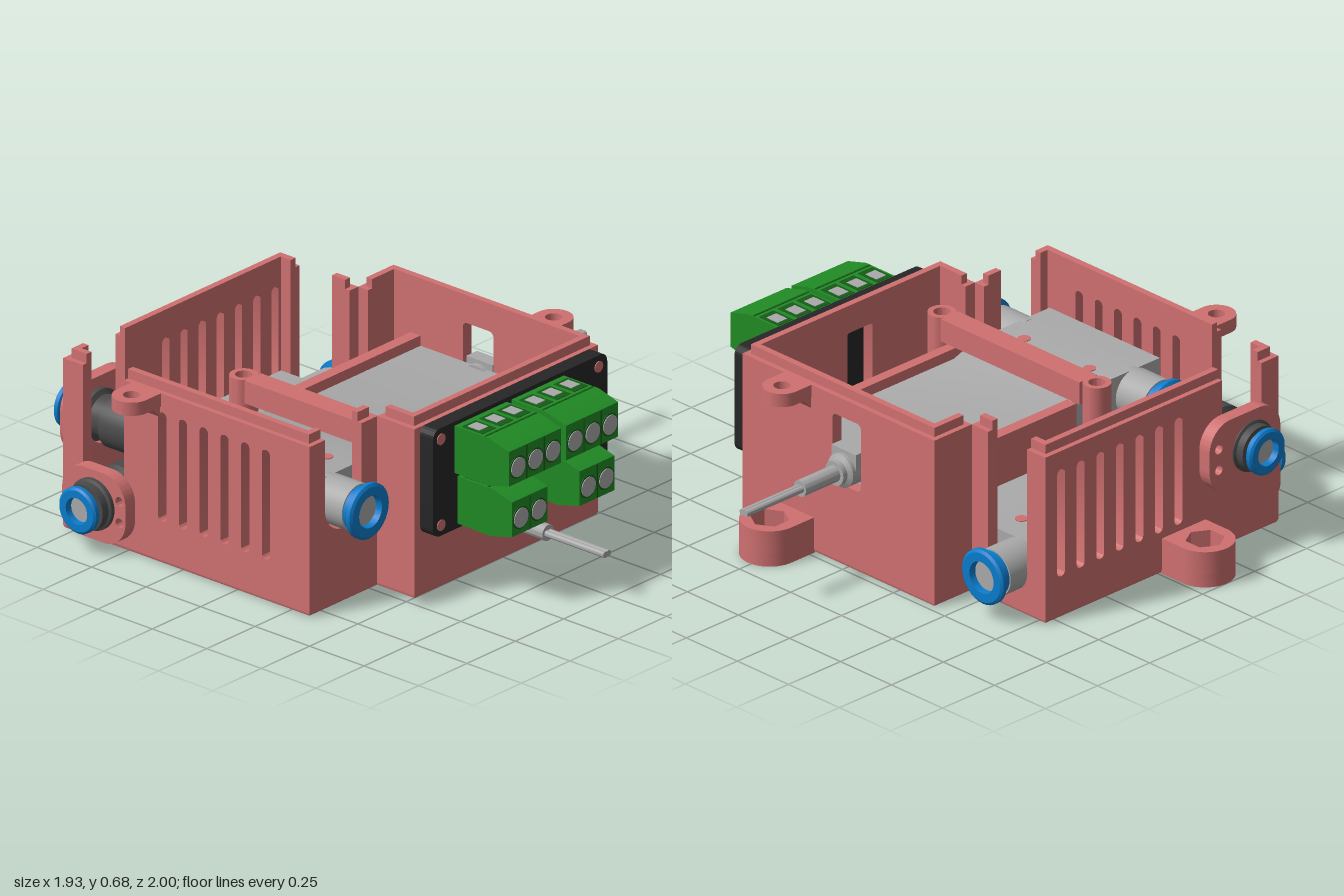
import * as THREE from 'three';
import { toCreasedNormals } from 'three/addons/utils/BufferGeometryUtils.js';

const material = (name, color) => new THREE.MeshStandardMaterial({ name, color });

export function createModel() {
  const model = new THREE.Group();
  model.name = 'valveBox';
  const pink = material('casePink', 0xcf7070);
  const grey = material('valveGrey', 0xa9a9a9);
  const black = material('panelBlack', 0x262626);
  const green = material('terminalGreen', 0x208a24);
  const darkGreen = material('terminalShadowGreen', 0x155c18);
  const blue = material('collarBlue', 0x0a7ccc);
  const dark = material('couplerGrey', 0x4a4a4a);

  const add = (name, geo, mat, x = 0, y = 0, z = 0, parent = model) => {
    const m = new THREE.Mesh(geo, mat);
    m.name = name;
    m.position.set(x, y, z);
    parent.add(m);
    return m;
  };
  const box = (name, mat, x0, x1, y0, y1, z0, z1, parent) =>
    add(name, new THREE.BoxGeometry(x1 - x0, y1 - y0, z1 - z0), mat,
      (x0 + x1) / 2, (y0 + y1) / 2, (z0 + z1) / 2, parent);
  const extrude = (shape, depth, options = {}) => toCreasedNormals(
    new THREE.ExtrudeGeometry(shape, { depth, bevelEnabled: false, curveSegments: 12, ...options }), 0.5);
  const poly = (pts) => new THREE.Shape(pts.map(([x, y]) => new THREE.Vector2(x, y)));
  const roundRect = (x0, y0, x1, y1, r) => {
    const s = new THREE.Shape();
    s.absarc(x1 - r, y0 + r, r, -Math.PI / 2, 0);
    s.absarc(x1 - r, y1 - r, r, 0, Math.PI / 2);
    s.absarc(x0 + r, y1 - r, r, Math.PI / 2, Math.PI);
    s.absarc(x0 + r, y0 + r, r, Math.PI, Math.PI * 1.5);
    return s;
  };
  const ngon = (x, y, r, n) => poly(Array.from({ length: n }, (_, i) => {
    const a = (i / n) * Math.PI * 2;
    return [x + r * Math.cos(a), y + r * Math.sin(a)];
  }));
  // Turned part: profile of [radius, distance along axis]
  const turned = (name, mat, profile, pos, dir, parent) => {
    const geo = new THREE.LatheGeometry(profile.map(([r, h]) => new THREE.Vector2(r, h)), 32);
    const m = add(name, toCreasedNormals(geo, 0.5), mat, ...pos, parent);
    m.quaternion.setFromUnitVectors(new THREE.Vector3(0, 1, 0), new THREE.Vector3(...dir));
    return m;
  };
  const rod = (name, mat, r, h0, h1, pos, dir, parent) =>
    turned(name, mat, [[0, h0], [r, h0], [r, h1], [0, h1]], pos, dir, parent);

  // Case floor with hexagonal nut pockets underneath
  const plan = [[0.48, 0.51], [-0.47, 0.51], [-0.47, 0.34], [-0.82, 0.34],
    [-0.82, -0.79], [0.3, -0.79], [0.3, -0.43], [0.48, -0.43]];
  const floor = poly(plan.map(([x, z]) => [x, -z]));
  const inner = extrude(floor, 0.03).rotateX(-Math.PI / 2);
  [[-0.36, -0.37], [-0.36, 0.39], [-0.38, 0], [-0.38, 0.16], [0.36, 0.13], [0.36, -0.03]]
    .forEach(([x, z]) => floor.holes.push(ngon(x, -z, 0.033, 6)));
  add('floorInner', inner, pink, 0, 0.027, 0);
  add('floorBase', extrude(floor, 0.002, { bevelEnabled: true, bevelSize: 0.014, bevelThickness: 0.014,
    bevelOffset: -0.014, bevelSegments: 2 }).rotateX(-Math.PI / 2), pink, 0, 0.014, 0);

  // Walls: holes are shapes in (distance, height); cut is an open U [centre, height, radius]
  const wall = (i, holes = [], cut = null) => {
    const [a, b] = [plan[i], plan[(i + 1) % plan.length]];
    const L = Math.hypot(b[0] - a[0], b[1] - a[1]);
    const [dx, dz] = [(b[0] - a[0]) / L, (b[1] - a[1]) / L];
    const g = new THREE.Group();
    g.name = 'caseWall';
    const s = new THREE.Shape();
    s.moveTo(0, 0.015);
    s.lineTo(L, 0.015);
    s.lineTo(L, 0.64);
    if (cut) {
      s.lineTo(cut[0] + cut[2], 0.64);
      s.absarc(cut[0], cut[1], cut[2], 0, Math.PI, true);
      s.lineTo(cut[0] - cut[2], 0.64);
    }
    s.lineTo(0, 0.64);
    s.holes.push(...holes);
    add('wallPanel', extrude(s, 0.045), pink, 0, 0, 0, g);
    // Raised inner lip along the top edge
    const spans = cut ? [[0.02, cut[0] - cut[2]], [cut[0] + cut[2], L - 0.02]] : [[0.02, L - 0.02]];
    spans.forEach(([u0, u1]) => box('wallLip', pink, u0, u1, 0.63, 0.675, 0.02, 0.045, g));
    g.applyMatrix4(new THREE.Matrix4().makeBasis(new THREE.Vector3(dx, 0, dz),
      new THREE.Vector3(0, 1, 0), new THREE.Vector3(-dz, 0, dx)).setPosition(a[0], 0, a[1]));
    model.add(g);
  };
  const slots = (n, first, step) => Array.from({ length: n }, (_, i) =>
    roundRect(first + i * step - 0.019, 0.16, first + i * step + 0.019, 0.57, 0.018));
  wall(0, [roundRect(0.44, 0.1, 0.56, 0.24, 0.055), roundRect(0.46, 0.3, 0.58, 0.57, 0.01)]);
  wall(1);
  wall(2, [], [0.175, 0.375, 0.095]);
  wall(3, slots(6, 0.2, 0.095), [0.945, 0.165, 0.095]);
  wall(4, slots(7, 0.48, 0.094), [0.175, 0.375, 0.095]);
  wall(5, [], [0.185, 0.165, 0.095]);
  wall(6);
  wall(7, [roundRect(0.36, 0.31, 0.5, 0.57, 0.02)]);

  // Mounting lugs pointing outward at a given turn about y
  const lug = (name, x, z, turn, r, back, y, h, hole) => {
    const s = new THREE.Shape();
    s.moveTo(-back, -r);
    s.lineTo(0, -r);
    s.absarc(0, 0, r, -Math.PI / 2, Math.PI / 2);
    s.lineTo(-back, r);
    s.holes.push(hole);
    add(name, extrude(s, h).rotateX(-Math.PI / 2).rotateY(turn), pink, x, y, z);
  };
  [[0.59, 0.265, 0], [-0.365, -0.895, Math.PI / 2]].forEach(([x, z, t]) => {
    lug('footLugBase', x, z, t, 0.105, 0.115, 0, 0.05, ngon(0, 0, 0.05, 24));
    lug('footLugNutPocket', x, z, t, 0.105, 0.115, 0.05, 0.085, ngon(0, 0, 0.07, 6));
  });
  [[0.555, 0.24, 0], [-0.895, -0.41, Math.PI]].forEach(([x, z, t]) => {
    lug('lidLug', x, z, t, 0.068, 0.08, 0.59, 0.05, ngon(0, 0, 0.03, 20));
    const gusset = extrude(poly([[-0.08, 0.545], [-0.04, 0.59], [-0.08, 0.59]]), 0.13)
      .translate(0, 0, -0.065).rotateY(t);
    add('lidLugGusset', gusset, pink, x, 0, z);
  });

  // Ridges that cradle the upper valve, corner posts and hold-down strap
  box('cradleFront', pink, -0.44, 0.44, 0.275, 0.46, 0.285, 0.325);
  box('cradleBack', pink, -0.32, 0.44, 0.275, 0.46, -0.31, -0.265);
  [-0.37, 0.39].forEach((z) => turned('strapPost', pink,
    [[0, 0.03], [0.05, 0.03], [0.05, 0.55], [0.03, 0.55], [0.03, 0.4], [0, 0.4]], [-0.36, 0, z], [0, 1, 0]));
  box('strap', pink, -0.4, -0.315, 0.465, 0.55, -0.33, 0.35);

  // Push-in collar with a recessed bore
  const collar = (r, pos, dir, parent) => {
    turned('releaseCollar', blue, [[r * 0.8, 0], [r * 0.8, 0.035], [r, 0.042], [r, 0.058],
      [r * 0.9, 0.065], [r * 0.58, 0.065], [r * 0.52, 0.02]], pos, dir, parent);
    rod('bore', grey, r * 0.56, 0, 0.04, pos, dir, parent);
  };

  // Valve: ported head, slimmer coil body, cable at the far end
  const valve = (name, x, y, z, turn) => {
    const g = new THREE.Group();
    g.name = name;
    const profile = poly([[0, -0.085], [1.2, -0.085], [1.2, 0.05], [0.46, 0.05], [0.36, 0.085], [0, 0.085]]);
    add('valveBody', extrude(profile, 0.54).translate(0, 0, -0.27), grey, 0, 0, 0, g);
    for (const s of [-1, 1]) {
      rod('port', grey, 0.087, 0.25, 0.4, [0.125, 0, 0], [0, 0, s], g);
      collar(0.102, [0.125, 0, s * 0.39], [0, 0, s], g);
      rod('pinHole', pink, 0.023, 0.08, 0.088, [0.23, 0, s * 0.16], [0, 1, 0], g);
    }
    turned('cable', grey, [[0, 1.18], [0.062, 1.18], [0.062, 1.27], [0.045, 1.28], [0.045, 1.3],
      [0.03, 1.3], [0.03, 1.465], [0, 1.465]], [0, 0, 0], [1, 0, 0], g);
    box('cableClamp', grey, 1.2, 1.255, 0, 0.075, -0.06, 0.06, g);
    for (const s of [-1, 1]) rod('wire', grey, 0.012, 1.46, 1.735, [0, 0, s * 0.008], [1, 0, 0], g);
    g.position.set(x, y, z);
    g.rotation.y = turn;
    model.add(g);
  };
  valve('upperValve', -0.77, 0.375, 0.01, 0);
  valve('lowerValve', -0.02, 0.165, -0.74, -Math.PI / 2);

  // Bulkhead couplers through the back and side walls
  const coupler = (pos, dir) => {
    turned('coupler', dark, [[0, -0.2], [0.09, -0.2], [0.098, -0.185], [0.098, 0], [0.078, 0.01], [0.078, 0.06],
      [0.095, 0.07], [0.095, 0.145], [0.085, 0.15], [0.085, 0.18], [0, 0.18]], pos, dir);
    collar(0.085, [0, 1, 2].map((i) => pos[i] + dir[i] * 0.155), dir);
    collar(0.1, [0, 1, 2].map((i) => pos[i] - dir[i] * 0.165), dir.map((d) => -d));
  };
  coupler([-0.645, 0.375, -0.7], [0, 0, -1]);
  coupler([-0.74, 0.165, -0.605], [-1, 0, 0]);

  // Flanges around the couplers, each with a pair of screw holes
  const flange = (u0, u1, y0, y1, bore, hole) => {
    const s = roundRect(u0, y0, u1, y1, 0.1);
    s.holes.push(ngon(bore[0], bore[1], 0.095, 28));
    [-0.04, 0.04].forEach((d) => s.holes.push(ngon(hole, bore[1] + d, 0.018, 12)));
    return extrude(s, 0.05);
  };
  add('backFlange', flange(-0.78, -0.44, 0.24, 0.51, [-0.645, 0.375], -0.485), pink, 0, 0, -0.84);
  add('sideFlange', flange(-0.75, -0.46, 0.03, 0.29, [-0.605, 0.165], -0.488).rotateY(-Math.PI / 2),
    pink, -0.82, 0, 0);

  // Front terminal panel
  add('terminalPanel', extrude(roundRect(-0.44, 0.235, 0.46, 0.64, 0.035), 0.06), black, 0, 0, 0.51);
  for (const x of [-0.4, 0.415]) for (const y of [0.275, 0.598])
    rod('panelScrew', pink, 0.021, 0, 0.004, [x, y, 0.569], [0, 0, 1]);

  // Screw terminal blocks
  const terminal = (x0, x1, y, pins) => {
    const profile = poly([[0.57, -0.082], [0.72, -0.085], [0.82, -0.06], [0.82, 0.07], [0.73, 0.095], [0.57, 0.095]]);
    add('terminalBlock', extrude(profile, x1 - x0).rotateY(-Math.PI / 2), green, x1, y, 0);
    box('terminalSeam', darkGreen, x0 + 0.003, x1 - 0.003, y + 0.093, y + 0.097, 0.705, 0.712);
    pins.forEach((x, i) => {
      rod('wireEntryRim', darkGreen, 0.042, 0, 0.004, [x, y, 0.818], [0, 0, 1]);
      rod('terminalScrew', grey, 0.036, 0, 0.006, [x, y, 0.819], [0, 0, 1]);
      box('contactRecess', darkGreen, x - 0.035, x + 0.035, y + 0.092, y + 0.097, 0.595, 0.69);
      box('contact', grey, x - 0.023, x + 0.023, y + 0.094, y + 0.099, 0.61, 0.665);
      if (i) {
        const mid = (x + pins[i - 1]) / 2;
        box('pinDivider', darkGreen, mid - 0.003, mid + 0.003, y - 0.058, y + 0.068, 0.817, 0.822);
      }
    });
  };
  terminal(-0.33, -0.06, 0.53, [-0.285, -0.195, -0.105]);
  terminal(-0.035, 0.235, 0.53, [0.01, 0.1, 0.19]);
  terminal(-0.315, -0.13, 0.335, [-0.27, -0.178]);
  terminal(0.035, 0.215, 0.335, [0.078, 0.17]);

  return model;
}
